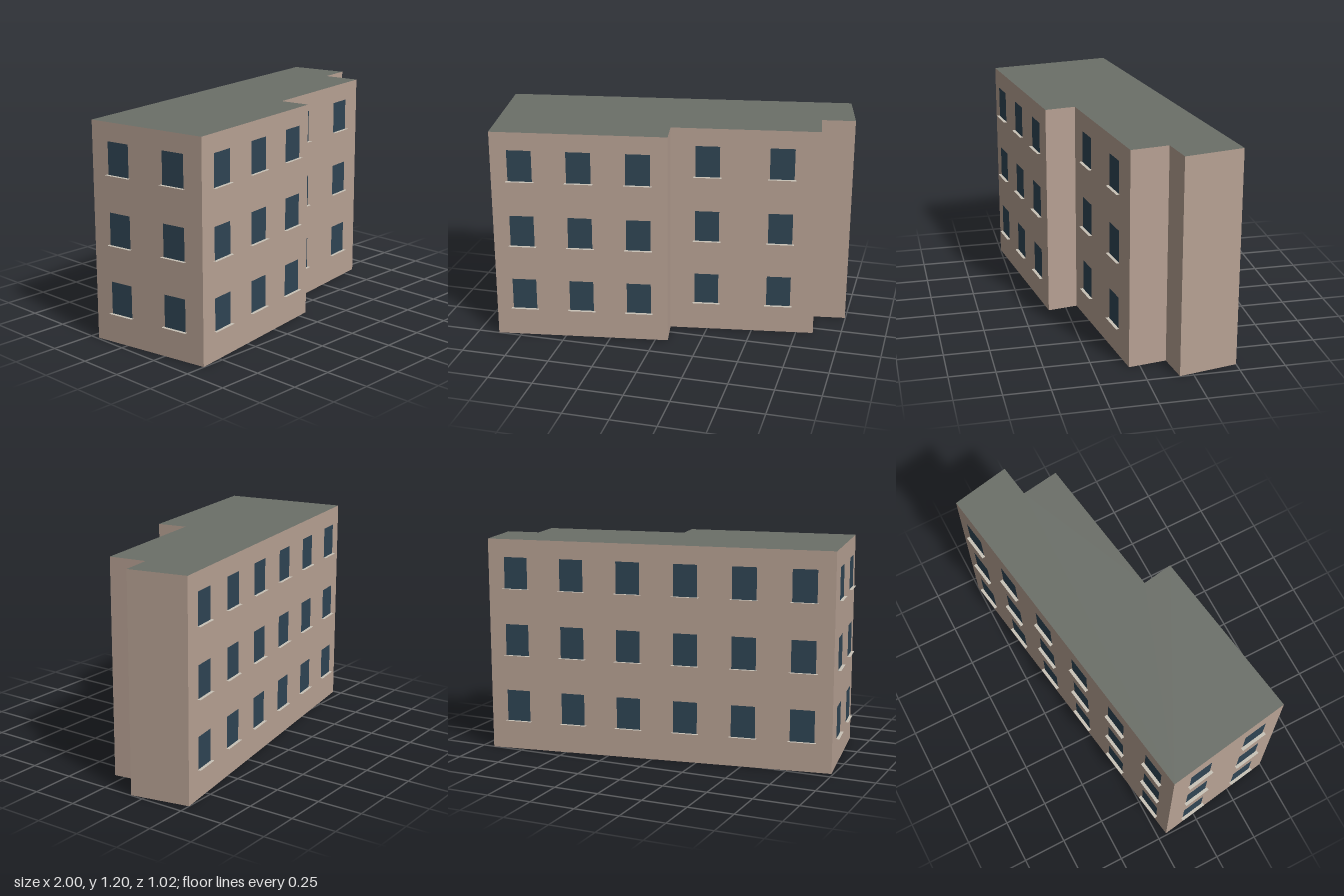
import * as THREE from 'three';

const HEIGHT = 1.2;
const FLOORS = [0.166, 0.545, 0.924]; // window bottoms
const WIN_W = 0.134, WIN_H = 0.177, GAP = 0.006;
const SILL_W = 0.154, SILL_D = 0.018;

// Footprint corners [x, z] and the number of window bays on the wall to the next corner
const FOOTPRINT = [
  { x: -0.99, z: -0.198, bays: 2 },
  { x: -0.882, z: 0.498, bays: 3 },
  { x: 0.07, z: 0.352, bays: 0 },
  { x: 0.043, z: 0.184, bays: 2 },
  { x: 0.845, z: 0.06, bays: 0 },
  { x: 0.813, z: -0.148, bays: 0 },
  { x: 0.997, z: -0.176, bays: 0 },
  { x: 0.932, z: -0.5, bays: 6 },
];

export function createModel() {
  const model = new THREE.Group();
  model.name = 'apartmentBuilding';

  const wallMat = new THREE.MeshStandardMaterial({ color: 0xb8a294 });
  const roofMat = new THREE.MeshStandardMaterial({ color: 0x6b6f68 });
  const glassMat = new THREE.MeshStandardMaterial({ color: 0x2f4554, side: THREE.DoubleSide });
  const sillMat = new THREE.MeshStandardMaterial({ color: 0xc8c2b6, side: THREE.DoubleSide });

  // Stepped block: flat roof and base on the caps, walls on the sides
  const shape = new THREE.Shape(FOOTPRINT.map((p) => new THREE.Vector2(p.x, -p.z)));
  const blockGeo = new THREE.ExtrudeGeometry(shape, { depth: HEIGHT, bevelEnabled: false });
  blockGeo.rotateX(-Math.PI / 2);
  const block = new THREE.Mesh(blockGeo, [roofMat, wallMat]);
  block.name = 'wallsAndRoof';
  model.add(block);

  // Window pane with a thin flat sill at its foot
  const paneGeo = new THREE.PlaneGeometry(WIN_W, WIN_H).translate(0, WIN_H / 2, GAP);
  const sillGeo = new THREE.PlaneGeometry(SILL_W, SILL_D)
    .rotateX(-Math.PI / 2)
    .translate(0, 0, GAP + SILL_D / 2);

  // Evenly spaced bays on each windowed wall, repeated per floor
  FOOTPRINT.forEach((a, i) => {
    const b = FOOTPRINT[(i + 1) % FOOTPRINT.length];
    const dx = b.x - a.x, dz = b.z - a.z;
    for (let k = 0; k < a.bays; k++) {
      const t = (k + 0.5) / a.bays;
      for (const y of FLOORS) {
        const win = new THREE.Group();
        win.name = 'window';
        const pane = new THREE.Mesh(paneGeo, glassMat);
        pane.name = 'windowPane';
        const sill = new THREE.Mesh(sillGeo, sillMat);
        sill.name = 'windowSill';
        win.add(pane, sill);
        win.position.set(a.x + dx * t, y, a.z + dz * t);
        win.rotation.y = Math.atan2(-dz, dx); // local +z faces outward
        model.add(win);
      }
    }
  });

  return model;
}
